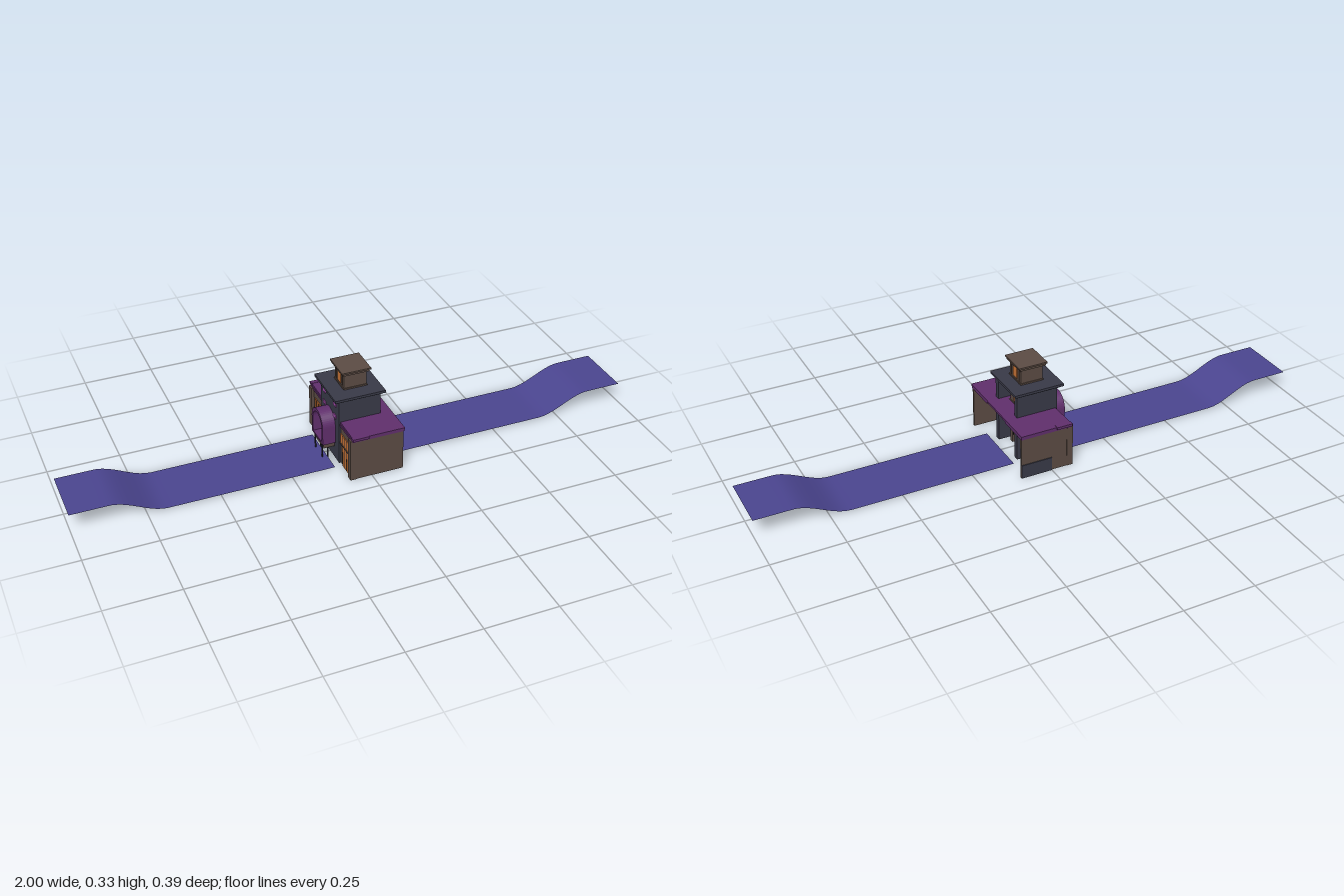
import * as THREE from 'three';

const mat = (name, color, side = THREE.FrontSide) => {
  const m = new THREE.MeshStandardMaterial({ color, side });
  m.name = name;
  return m;
};

export function createModel() {
  const brown = mat('brown wall', 0x5c4c44);
  const dark = mat('dark slate', 0x393a48);
  const purple = mat('purple roof', 0x602f6c);
  const pink = mat('violet glass', 0xa550b0);
  const orange = mat('orange glass', 0xc97436);
  const road = mat('indigo road', 0x4b4590, THREE.DoubleSide);
  const black = mat('black iron', 0x25252c);

  const root = new THREE.Group();
  root.name = 'stationBuilding';

  const add = (name, geo, m) => {
    const mesh = new THREE.Mesh(geo, m);
    mesh.name = name;
    root.add(mesh);
    return mesh;
  };
  // Box given by its limits on each axis
  const box = (name, m, x0, x1, y0, y1, z0, z1) => {
    const b = add(name, new THREE.BoxGeometry(x1 - x0, y1 - y0, z1 - z0), m);
    b.position.set((x0 + x1) / 2, (y0 + y1) / 2, (z0 + z1) / 2);
    return b;
  };
  // The same box on both sides of z = 0
  const pair = (name, m, x0, x1, y0, y1, z0, z1) => {
    box(name, m, x0, x1, y0, y1, z0, z1);
    box(name, m, x0, x1, y0, y1, -z1, -z0);
  };
  // Thin bar between two points in a plane of constant x
  const bar = (name, m, x, y0, z0, y1, z1, t) => {
    const len = Math.hypot(y1 - y0, z1 - z0);
    const b = add(name, new THREE.BoxGeometry(t, len, t), m);
    b.position.set(x, (y0 + y1) / 2, (z0 + z1) / 2);
    b.rotation.x = Math.atan2(z1 - z0, y1 - y0);
  };

  // Road ribbons: flat, then a smooth rise to a raised end
  for (const s of [-1, 1]) {
    const geo = new THREE.PlaneGeometry(0.9, 0.21, 45, 1).rotateX(-Math.PI / 2);
    const p = geo.attributes.position;
    for (let i = 0; i < p.count; i++) {
      const x = p.getX(i) + s * 0.55;
      p.setXYZ(i, x, 0.006 + 0.064 * THREE.MathUtils.smoothstep(Math.abs(x), 0.68, 0.87), p.getZ(i));
    }
    geo.computeVertexNormals();
    add('road', geo, road);
  }

  // Main hall: end walls and street facade, open towards +x
  pair('endWall', brown, -0.07, 0.113, 0, 0.155, 0.178, 0.186);
  pair('facadeWing', brown, -0.068, -0.06, 0, 0.155, 0.07, 0.18);
  pair('cornerPilaster', brown, -0.078, -0.056, 0, 0.155, 0.165, 0.188);
  box('wallBase', dark, 0, 0.113, 0, 0.05, -0.189, -0.186);
  pair('eaveTrim', purple, -0.072, 0.114, 0.15, 0.158, 0.07, 0.189);
  box('hallRoof', purple, -0.07, 0.115, 0.157, 0.165, -0.192, 0.192);
  pair('roofCorner', purple, -0.072, -0.015, 0.157, 0.166, 0.18, 0.196);

  // Hall windows on both faces of the facade
  pair('hallWindow', orange, -0.0705, -0.0575, 0.085, 0.122, 0.082, 0.152);
  pair('hallDoor', orange, -0.0705, -0.0575, 0.0, 0.085, 0.1, 0.152);
  for (const z of [0.1, 0.117, 0.135]) {
    pair('windowBar', black, -0.0715, -0.0565, 0.0, 0.122, z - 0.001, z + 0.001);
  }
  pair('windowSill', brown, -0.073, -0.055, 0.082, 0.086, 0.08, 0.154);

  // Middle tower: two full height side walls and a street wall
  pair('towerSide', dark, -0.075, 0.075, 0, 0.25, 0.06, 0.08);
  box('towerFace', dark, -0.075, -0.066, 0, 0.25, -0.061, 0.061);
  box('towerCornice', dark, -0.085, 0.08, 0.245, 0.252, -0.086, 0.086);
  box('towerRoof', dark, -0.093, 0.088, 0.251, 0.26, -0.094, 0.094);
  pair('towerWindow', pink, -0.078, -0.0635, 0.212, 0.245, 0.036, 0.058);
  pair('lowTowerWindow', pink, -0.078, -0.0635, 0.165, 0.178, 0.036, 0.058);

  // Central shaft and lookout
  box('shaft', brown, -0.04, 0.04, 0.065, 0.32, -0.04, 0.04);
  pair('shaftLeg', brown, 0.015, 0.04, 0, 0.065, 0.025, 0.04);
  for (const y of [0.163, 0.215, 0.263]) {
    box('shaftBand', brown, -0.043, 0.043, y, y + 0.004, -0.043, 0.043);
  }
  for (const z of [-0.027, 0.027]) {
    box('shaftRib', brown, -0.0415, 0.0415, 0.07, 0.32, z - 0.001, z + 0.001);
  }
  box('lookoutWindow', orange, -0.042, 0.042, 0.273, 0.314, -0.013, 0.013);
  box('shaftWindow', orange, -0.042, 0.042, 0.173, 0.215, -0.013, 0.013);
  box('lookoutCornice', brown, -0.048, 0.048, 0.319, 0.327, -0.049, 0.049);
  box('lookoutRoof', brown, -0.052, 0.052, 0.327, 0.333, -0.053, 0.053);

  // Iron lattice with a small wheel on the shaft
  for (const z of [-0.01, 0.01]) bar('latticePost', black, 0.044, 0.04, z, 0.155, z, 0.003);
  for (const y of [0.075, 0.11]) {
    bar('latticeBrace', black, 0.044, y, -0.012, y + 0.035, 0.012, 0.003);
    bar('latticeBrace', black, 0.044, y, 0.012, y + 0.035, -0.012, 0.003);
  }
  bar('latticeArm', black, 0.044, 0.12, -0.04, 0.12, 0.04, 0.003);
  const wheel = add('latticeWheel', new THREE.CylinderGeometry(0.014, 0.014, 0.006, 8), purple);
  wheel.rotation.z = Math.PI / 2;
  wheel.position.set(0.046, 0.12, 0);

  // Arched porch on the street side
  const arch = new THREE.Shape();
  arch.moveTo(-0.05, 0.065);
  arch.lineTo(-0.05, 0.13);
  arch.absarc(0, 0.13, 0.05, Math.PI, 0, true);
  arch.lineTo(0.05, 0.065);
  arch.closePath();
  const hole = new THREE.Path();
  hole.moveTo(-0.038, 0.072);
  hole.lineTo(0.038, 0.072);
  hole.lineTo(0.038, 0.13);
  hole.absarc(0, 0.13, 0.038, 0, Math.PI, false);
  hole.closePath();
  arch.holes.push(hole);
  const porch = add('porchArch', new THREE.ExtrudeGeometry(arch,
    { depth: 0.046, bevelEnabled: false, curveSegments: 12 }), purple);
  porch.rotation.y = -Math.PI / 2;
  porch.position.x = -0.076;
  box('porchBase', brown, -0.115, -0.075, 0.045, 0.065, -0.04, 0.04);
  pair('porchPost', black, -0.119, -0.115, 0, 0.066, 0.03, 0.034);
  pair('porchPost', black, -0.1, -0.096, 0, 0.066, 0.03, 0.034);

  // Parked truck inside the hall, lying along z
  box('truckBed', dark, -0.03, 0.03, 0.02, 0.085, 0.08, 0.14);
  box('truckChassis', dark, -0.028, 0.012, 0.014, 0.03, -0.135, 0.135);
  const cab = new THREE.Shape([[0.08, 0.01], [0.14, 0.01], [0.14, 0.05], [0.13, 0.075], [0.08, 0.082]]
    .map(([a, b]) => new THREE.Vector2(a, b)));
  const cabMesh = add('truckCab', new THREE.ExtrudeGeometry(cab, { depth: 0.06, bevelEnabled: false }), dark);
  cabMesh.rotation.y = Math.PI / 2;
  cabMesh.position.x = -0.03;
  box('cabWindow', pink, -0.032, 0.032, 0.05, 0.071, -0.132, -0.1);
  for (const z of [-0.113, 0.116]) {
    for (const x of [-0.03, 0.03]) {
      const tyre = add('truckWheel', new THREE.CylinderGeometry(0.012, 0.012, 0.01, 14), black);
      tyre.rotation.z = Math.PI / 2;
      tyre.position.set(x, 0.012, z);
    }
  }

  return root;
}
